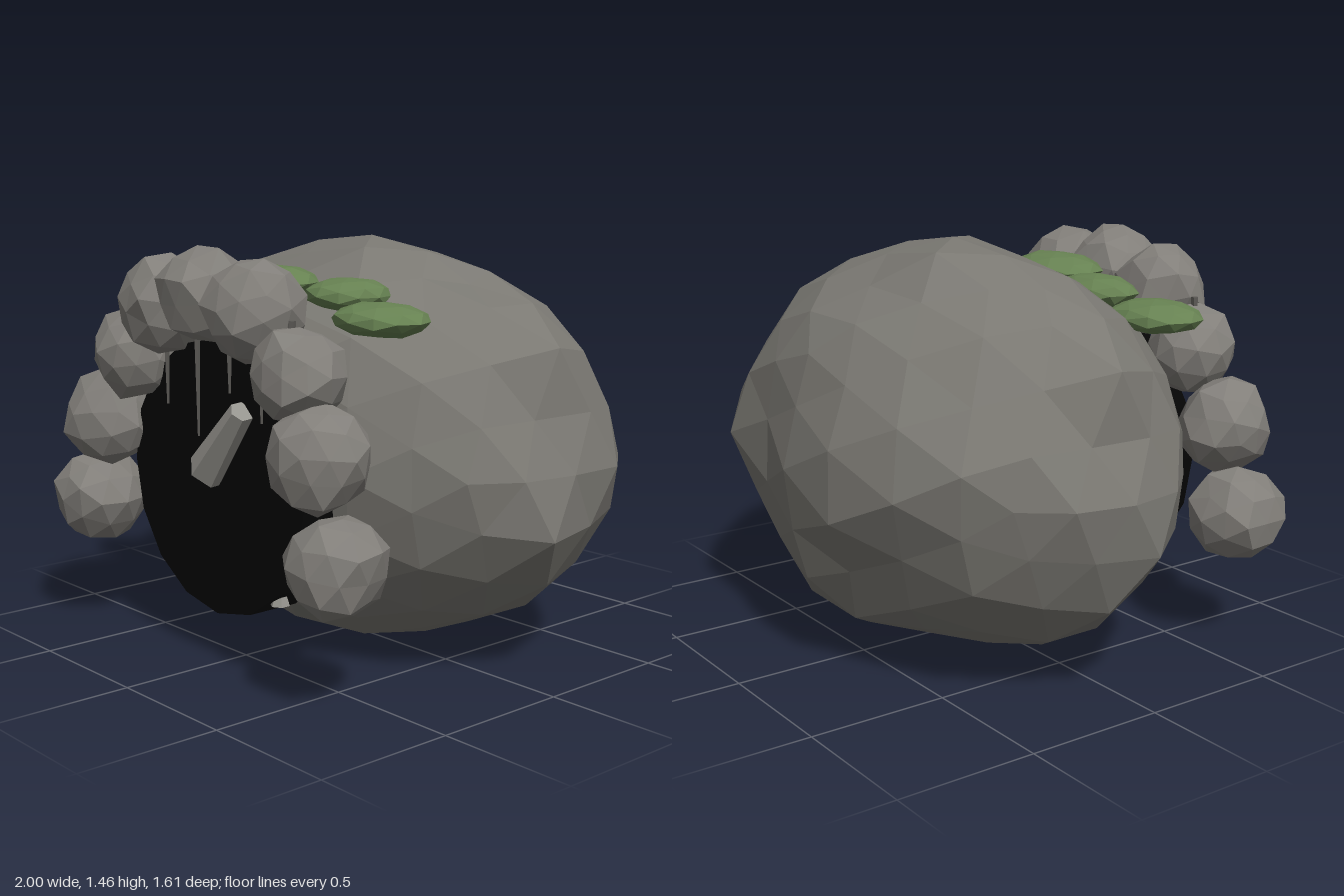
import * as THREE from 'three';

const mat = (name, color) => {
  const m = new THREE.MeshStandardMaterial({ color, flatShading: true });
  m.name = name;
  return m;
};

// Repeatable noise in -1..1 from a direction, so shared corners move together
function noise(v, seed) {
  const q = (n) => Math.round(n * 1000) / 1000 + 0;
  const s = Math.sin(q(v.x) * 127.1 + q(v.y) * 311.7 + q(v.z) * 74.7 + seed * 19.3) * 43758.5453;
  return (s - Math.floor(s)) * 2 - 1;
}

// Faceted stone: an icosphere roughened by noise, pulled towards guide points, then scaled
function stone(radii, detail, rough, seed, guides = []) {
  const geo = new THREE.IcosahedronGeometry(1, detail);
  const pos = geo.attributes.position;
  const v = new THREE.Vector3();
  for (let i = 0; i < pos.count; i++) {
    v.fromBufferAttribute(pos, i).normalize();
    let weight = 0, pull = 0;
    for (const g of guides) {
      const w = Math.exp(-v.distanceToSquared(g.dir) / 0.04);
      weight += w;
      pull += w * (g.reach - 1);
    }
    const r = 1 + pull / Math.max(1, weight) + rough * noise(v, seed);
    pos.setXYZ(i, v.x * r * radii[0], v.y * r * radii[1], v.z * r * radii[2]);
  }
  geo.computeVertexNormals();
  return geo;
}

export function createModel() {
  const model = new THREE.Group();
  const boulderGrey = mat('boulder grey', 0x7b7973);
  const stoneGrey = mat('arch stone grey', 0x827f7a);
  const mossGreen = mat('moss green', 0x678252);
  const caveBlack = mat('cave black', 0x050505);
  const dripGrey = mat('stalactite grey', 0x5c5a56);
  const paleGrey = mat('pale stone', 0x96948e);

  const add = (name, geo, material, x, y, z, parent = model) => {
    const m = new THREE.Mesh(geo, material);
    m.name = name;
    m.position.set(x, y, z);
    parent.add(m);
    return m;
  };
  const group = (name) => {
    const g = new THREE.Group();
    g.name = name;
    model.add(g);
    return g;
  };

  // Main boulder: ellipsoid pulled through a few points on its outline
  const radii = [0.98, 0.715, 0.68];
  const centre = new THREE.Vector3(0, 0.72, -0.1);
  const guides = [
    // around the sides, seen head on
    [-0.24, 1.44, -0.21], [0.24, 1.43, 0], [-0.48, 1.36, -0.1], [0.5, 1.29, -0.1],
    [-0.72, 1.25, -0.1], [0.8, 1.23, -0.15], [-0.95, 1.13, -0.1], [0.93, 1.06, -0.15],
    [-0.89, 0.9, -0.1], [-0.99, 0.72, -0.2], [1, 0.72, -0.32], [0.9, 0.88, -0.1],
    [0.99, 0.5, -0.02], [-1, 0.53, 0.05], [-0.91, 0.34, -0.1], [0.89, 0.31, -0.1],
    [-0.69, 0.18, -0.1], [0.68, 0.19, -0.1], [-0.28, 0.04, -0.1], [0.18, 0, 0],
    // over the back
    [0, 1.34, -0.4], [0, 1.22, -0.64], [-0.35, 0.72, -0.82], [0, 0.72, -0.8],
    [0.25, 0.75, -0.73], [0.62, 0.75, -0.71], [0.85, 0.6, -0.5], [-0.7, 0.8, -0.65],
    [0, 0.31, -0.73], [0, 0.17, -0.62], [0, 0.07, -0.4], [-0.35, 0.16, -0.38],
    // around the cave mouth
    [0, 1.36, 0.2], [0, 1.15, 0.48], [0.36, 1.1, 0.46], [-0.36, 1.1, 0.46],
    [0.45, 0.72, 0.52], [-0.45, 0.72, 0.52], [0, 0.18, 0.43], [0, 0.05, 0.22],
    [0.72, 0.75, 0.37], [-0.76, 0.75, 0.34],
  ].map((p) => {
    const dir = new THREE.Vector3(...p).sub(centre).divide(new THREE.Vector3(...radii));
    const reach = dir.length();
    return { dir: dir.normalize(), reach };
  });
  add('boulder', stone(radii, 3, 0.02, 3, guides), boulderGrey, centre.x, centre.y, centre.z);

  // Dark cave mouth
  const mouth = new THREE.CylinderGeometry(0.483, 0.483, 0.4, 16);
  mouth.rotateX(Math.PI / 2);
  add('caveMouth', mouth, caveBlack, -0.02, 0.648, 0.407);

  // Arch of stones around the mouth
  const arch = group('stoneArch');
  [
    [-0.7, 0.48, 0.64, 0.17], [-0.62, 0.79, 0.64, 0.17], [-0.46, 1.04, 0.62, 0.165],
    [-0.28, 1.23, 0.62, 0.17], [-0.03, 1.28, 0.62, 0.17], [0.24, 1.24, 0.63, 0.17],
    [0.45, 1.06, 0.62, 0.16], [0.58, 0.81, 0.64, 0.17], [0.65, 0.48, 0.64, 0.17],
  ].forEach(([x, y, z, r], i) => {
    const m = add('archStone', stone([r, r, r], 1, 0.09, i + 5), stoneGrey, x, y, z, arch);
    m.rotation.set(i * 1.3, i * 2.1, i * 0.7);
  });

  // Moss cushions along the brow
  const moss = group('moss');
  [
    [-0.57, 1.21, 0.34, 0.18, 0.14], [-0.32, 1.27, 0.29, 0.17, 0.12],
    [-0.03, 1.31, 0.34, 0.19, 0.15], [0.29, 1.28, 0.27, 0.16, 0.14],
    [0.53, 1.22, 0.34, 0.18, 0.145],
  ].forEach(([x, y, z, rx, rz], i) =>
    add('mossCushion', stone([rx, 0.058, rz], 1, 0.04, i + 30), mossGreen, x, y, z, moss));

  // Thin stalactites hanging from the arch (x, top, tip)
  const drips = group('stalactites');
  [
    [-0.46, 1.23, 0.95], [-0.26, 1.2, 0.88], [-0.08, 1.25, 0.79],
    [0.1, 1.2, 0.96], [0.27, 1.18, 0.88], [0.43, 1.23, 0.95],
  ].forEach(([x, top, tip]) =>
    add('stalactite', new THREE.CylinderGeometry(0.013, 0.004, top - tip, 5),
      dripGrey, x, (top + tip) / 2, 0.63, drips));

  // Tapered pale stone leaning across the mouth
  const shard = add('leaningStone', new THREE.CylinderGeometry(0.042, 0.078, 0.32, 6),
    paleGrey, 0.06, 0.79, 0.62);
  shard.rotation.set(0.1, 0, -0.74);

  // Small stub poking from the lower edge of the mouth
  add('stalagmite', new THREE.CylinderGeometry(0.015, 0.035, 0.06, 6), paleGrey, 0.265, 0.28, 0.555);

  return model;
}
